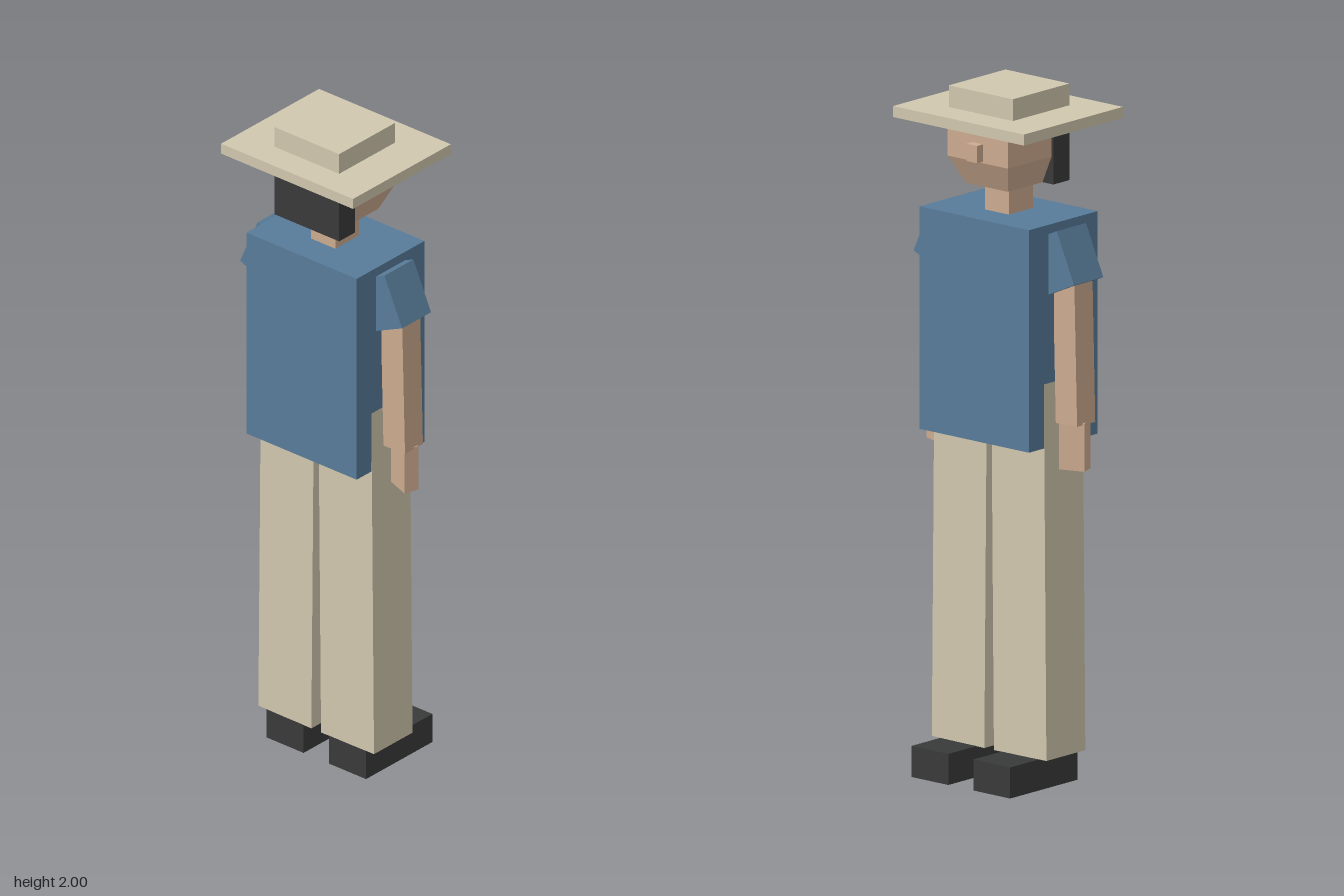
import * as THREE from 'three';

const material = (color) => new THREE.MeshStandardMaterial({ color, flatShading: true });

export function createModel() {
  const model = new THREE.Group();
  model.name = 'figure';
  const cloth = material(0xd0c7ae);
  const shirt = material(0x587c99);
  const skin = material(0xcdab8f);
  const dark = material(0x383a39);

  // Box given by its lower and upper limits on each axis
  function block(name, mat, [x0, x1], [y0, y1], [z0, z1]) {
    const mesh = new THREE.Mesh(new THREE.BoxGeometry(x1 - x0, y1 - y0, z1 - z0), mat);
    mesh.position.set((x0 + x1) / 2, (y0 + y1) / 2, (z0 + z1) / 2);
    mesh.name = name;
    model.add(mesh);
    return mesh;
  }

  // Hat
  block('hatBrim', cloth, [-0.245, 0.245], [1.905, 1.937], [-0.21, 0.21]);
  block('hatCrown', cloth, [-0.12, 0.12], [1.937, 2], [-0.115, 0.125]);

  // Hair: back panel and a thin cap under the brim
  block('hairBack', dark, [-0.12, 0.12], [1.72, 1.905], [0.057, 0.125]);
  block('hairTop', dark, [-0.12, 0.12], [1.885, 1.905], [-0.103, 0.057]);

  // Head, facing -z, with a jaw that narrows towards the chin
  block('skull', skin, [-0.113, 0.113], [1.8, 1.9], [-0.128, 0.057]);
  const jaw = block('jaw', skin, [-0.113, 0.113], [1.72, 1.8], [-0.128, 0.057]);
  const p = jaw.geometry.attributes.position;
  for (let i = 0; i < p.count; i++) {
    if (p.getY(i) > 0) continue;
    p.setX(i, p.getX(i) * 0.7);
    if (p.getZ(i) < 0) p.setZ(i, p.getZ(i) + 0.038);
  }
  jaw.geometry.computeVertexNormals();
  block('nose', skin, [-0.02, 0.02], [1.805, 1.855], [-0.154, -0.12]);
  block('neck', skin, [-0.045, 0.045], [1.63, 1.73], [-0.047, 0.055]);

  // Shirt body
  block('torso', shirt, [-0.205, 0.205], [0.995, 1.64], [-0.143, 0.148]);

  // Limbs, mirrored
  for (const [side, s] of [['left', 1], ['right', -1]]) {
    const limb = (part, mat, size, pos, rotY, rotZ) => {
      const mesh = new THREE.Mesh(new THREE.BoxGeometry(...size), mat);
      mesh.position.set(s * pos[0], pos[1], pos[2]);
      mesh.rotation.set(0, s * rotY, s * rotZ);
      mesh.name = side + part;
      model.add(mesh);
    };
    limb('Sleeve', shirt, [0.106, 0.16, 0.124], [0.22, 1.532, 0.002], 0, 0.42);
    limb('Arm', skin, [0.08, 0.44, 0.077], [0.246, 1.283, 0.002], 0, 0.025);
    limb('Hand', skin, [0.077, 0.14, 0.045], [0.253, 1.0, -0.003], -0.35, 0);
    limb('Leg', cloth, [0.197, 1.09, 0.165], [0.1115, 0.635, 0.0025], 0, 0.009);
    limb('Shoe', dark, [0.138, 0.09, 0.285], [0.116, 0.045, -0.0575], 0, 0);
  }
  return model;
}
